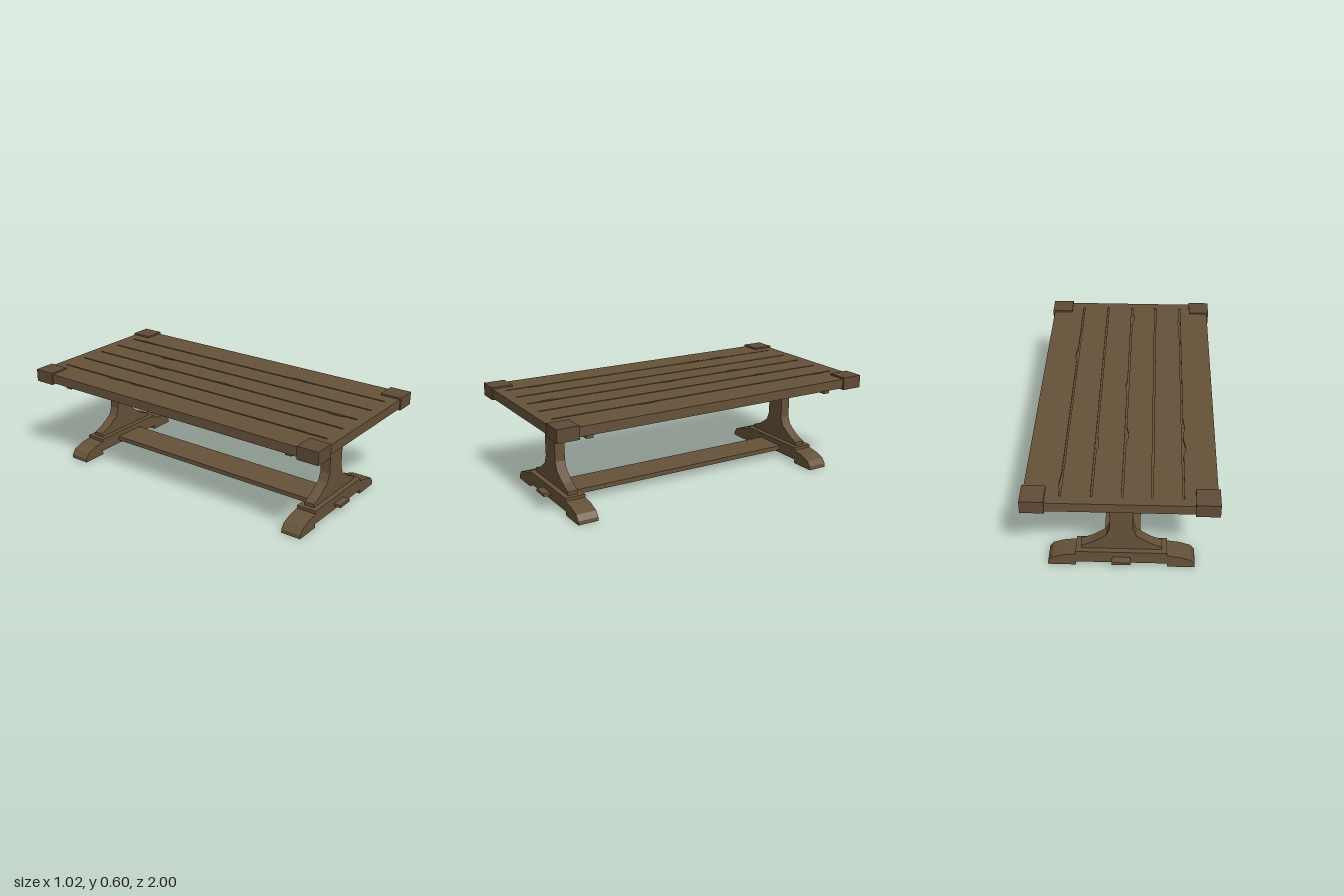
import * as THREE from 'three';

const wood = new THREE.MeshStandardMaterial({ color: 0x66523a, flatShading: true });
const cornerWood = new THREE.MeshStandardMaterial({ color: 0x604c37, flatShading: true });

function add(parent, name, geometry, x = 0, y = 0, z = 0, material = wood) {
  const mesh = new THREE.Mesh(geometry, material);
  mesh.name = name;
  mesh.position.set(x, y, z);
  parent.add(mesh);
  return mesh;
}

function box(parent, name, w, y0, y1, d, x = 0, z = 0, material = wood) {
  return add(parent, name, new THREE.BoxGeometry(w, y1 - y0, d), x, (y0 + y1) / 2, z, material);
}

// Symmetric board: half outline (x >= 0, bottom to top) mirrored across x, centred in z
function mirroredBoard(half, depth) {
  const points = [...half, ...half.map(([x, y]) => [-x, y]).reverse()];
  const shape = new THREE.Shape(points.map(([x, y]) => new THREE.Vector2(x, y)));
  return new THREE.ExtrudeGeometry(shape, { depth, bevelEnabled: false }).translate(0, 0, -depth / 2);
}

// Groove between planks, with worn chips: [z, signed bulge to one side]
function groove(x, chips) {
  const w = 0.0045, end = 0.938;
  const side = s => {
    const pts = [[x + s * w, -end]];
    for (const [z, out] of chips) {
      if (Math.sign(out) !== s) continue;
      pts.push([x + s * w, z - 0.06], [x + s * w + out, z - 0.02],
        [x + s * w + out * 0.8, z + 0.025], [x + s * w, z + 0.07]);
    }
    pts.push([x + s * w, end]);
    return pts;
  };
  const pts = [...side(-1), ...side(1).reverse()];
  return new THREE.Path(pts.map(([a, b]) => new THREE.Vector2(a, b)));
}

export function createModel() {
  const table = new THREE.Group();
  table.name = 'trestleTable';

  // Table top: solid core with a grooved plank layer above
  const top = new THREE.Group();
  top.name = 'tableTop';
  table.add(top);
  const W = 0.5, L = 0.994, topY = 0.585, grooveDepth = 0.01;
  box(top, 'topCore', 2 * W, 0.53, topY - grooveDepth, 2 * L);
  const planks = new THREE.Shape([[-W, -L], [W, -L], [W, L], [-W, L]].map(p => new THREE.Vector2(...p)));
  planks.holes.push(
    groove(-0.322, [[-0.53, -0.012], [-0.35, -0.008], [0.75, 0.006]]),
    groove(-0.163, []),
    groove(-0.01, [[-0.43, -0.014], [0.04, 0.009], [0.81, -0.012]]),
    groove(0.148, [[-0.51, -0.011]]),
    groove(0.308, [[-0.91 + 0.08, 0.007], [0.37, 0.01]]),
  );
  const plankGeo = new THREE.ExtrudeGeometry(planks, { depth: grooveDepth, bevelEnabled: false });
  add(top, 'planks', plankGeo.rotateX(Math.PI / 2), 0, topY, 0);

  // Corner caps
  for (const sx of [-1, 1]) for (const sz of [-1, 1]) {
    box(top, 'cornerCap', 0.125, 0.52, 0.595, 0.127, sx * 0.4475, sz * 0.9365, cornerWood);
  }

  // Trestles
  const footGeo = mirroredBoard([
    [0.252, 0.024], [0.252, 0], [0.405, 0], [0.403, 0.022], [0.38, 0.052],
    [0.32, 0.073], [0.25, 0.083], [0.25, 0.101],
  ], 0.12);
  const postGeo = mirroredBoard([
    [0.222, 0.1], [0.222, 0.122], [0.19, 0.132], [0.152, 0.15], [0.083, 0.198],
    [0.064, 0.247], [0.064, 0.531],
  ], 0.06);
  for (const s of [1, -1]) {
    const trestle = new THREE.Group();
    trestle.name = s > 0 ? 'frontTrestle' : 'backTrestle';
    trestle.position.z = s * 0.79;
    table.add(trestle);
    add(trestle, 'foot', footGeo);
    add(trestle, 'post', postGeo);
    box(trestle, 'topRail', 0.91, 0.497, 0.531, 0.04);
  }

  // Stretcher with tenons passing through the feet
  box(table, 'stretcher', 0.2, 0.043, 0.07, 1.5);
  box(table, 'stretcherTenon', 0.102, 0.048, 0.065, 1.785);

  return table;
}
